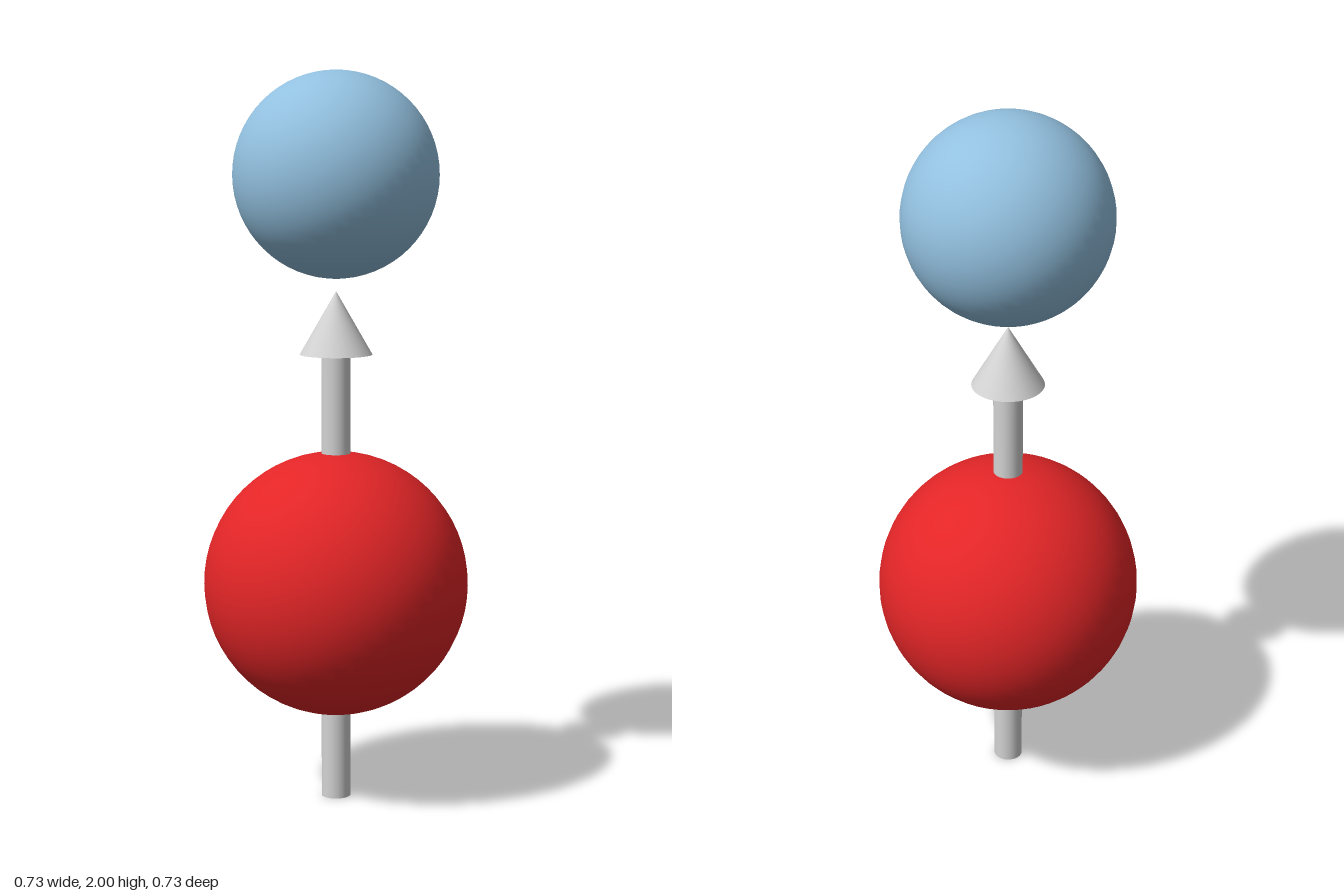
import * as THREE from 'three';

export function createModel() {
  const model = new THREE.Group();

  const material = (name, color) => {
    const m = new THREE.MeshStandardMaterial({ color });
    m.name = name;
    return m;
  };
  const red = material('red', 0xe32527);
  const blue = material('light blue', 0x92c0df);
  const grey = material('light grey', 0xd3d3d3);

  // Every part sits on the vertical axis, centred at height y
  const add = (name, geometry, mat, y) => {
    const mesh = new THREE.Mesh(geometry, mat);
    mesh.name = name;
    mesh.position.y = y;
    model.add(mesh);
  };

  const headBase = 1.236;
  const headTip = 1.408;

  // Arrow running up through the large ball
  add('arrowShaft', new THREE.CylinderGeometry(0.04, 0.04, headBase, 32), grey, headBase / 2);
  add('arrowHead', new THREE.ConeGeometry(0.099, headTip - headBase, 48), grey, (headBase + headTip) / 2);

  // Large ball on the shaft, small ball floating above the tip
  add('largeBall', new THREE.SphereGeometry(0.363, 48, 32), red, 0.604);
  add('smallBall', new THREE.SphereGeometry(0.279, 48, 32), blue, 1.721);

  return model;
}
